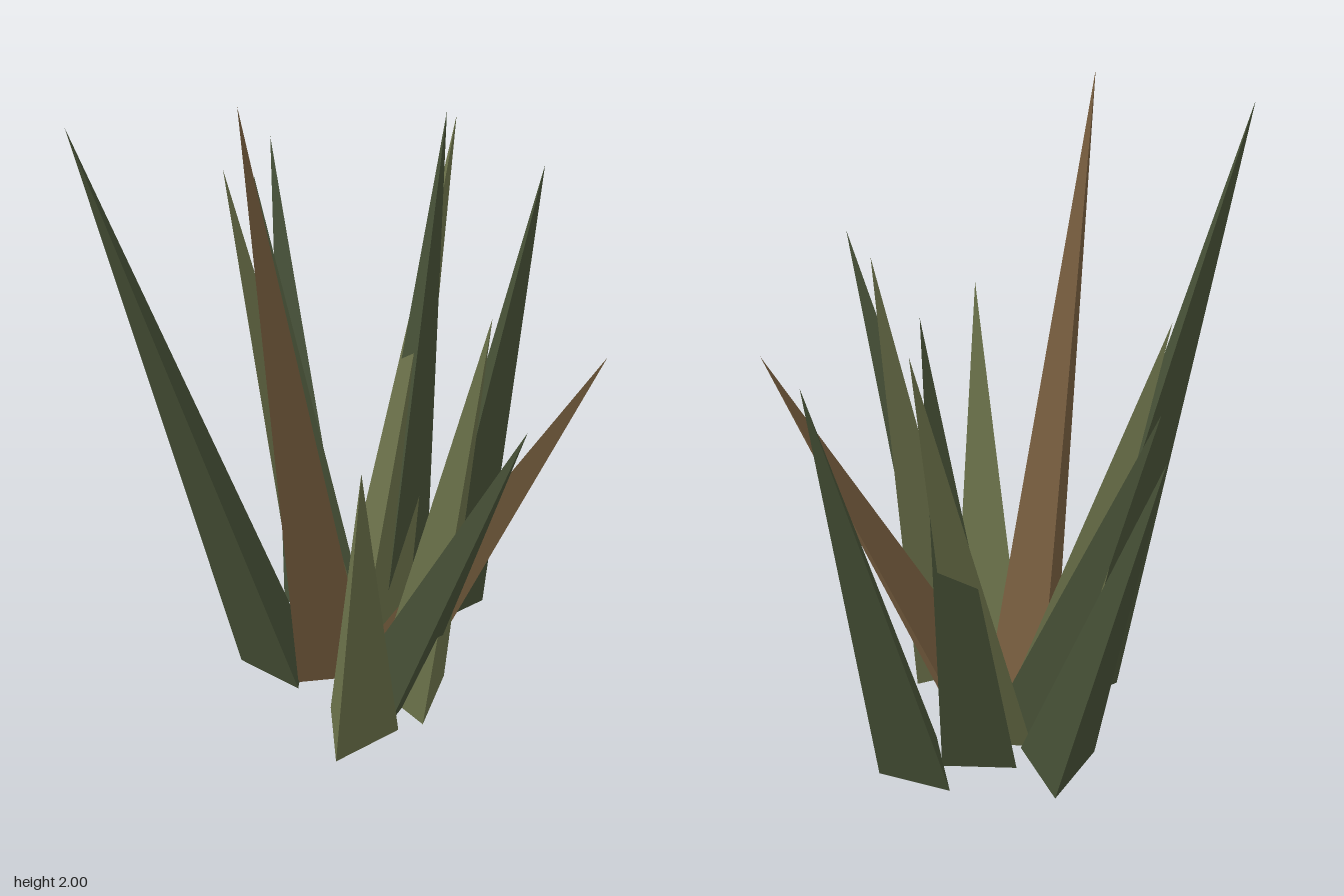
import * as THREE from 'three';

const DARK = 0x465036, OLIVE = 0x6a7049, BROWN = 0x765d3e;
const BASE_RADIUS = 0.133;

// Each blade: base centre x, z, turn of the triangular base, tip x, y, z, colour
const BLADES = [
  [-0.215, -0.151, -0.25, -0.71, 1.92, -0.285, DARK],
  [-0.097, -0.042, -1.59, -0.42, 2.0, 0.04, BROWN],
  [-0.036, 0.174, 1.42, -0.15, 1.35, 0.8, DARK],
  [-0.23, 0.242, 3.07, -0.41, 1.18, 0.495, OLIVE],
  [-0.024, -0.163, 2.94, -0.11, 1.57, -0.505, OLIVE],
  [0.016, 0.229, -0.49, 0.04, 1.45, 0.47, OLIVE],
  [0.022, -0.177, 0.5, 0.09, 1.45, -0.64, DARK],
  [0.098, -0.346, -1.92, 0.27, 1.48, -0.8, DARK],
  [0.218, -0.132, 1.25, 0.465, 1.7, -0.19, DARK],
  [0.11, -0.105, 1.18, 0.55, 1.65, -0.24, OLIVE],
  [0.39, -0.047, 3.07, 0.7, 1.53, -0.01, DARK],
  [0.09, 0.03, 0.205, 0.4, 1.24, 0.555, BROWN],
];

// Three-sided spike with a level base, sheared so its tip leans outward
function bladeGeometry(x, z, turn, tipX, tipY, tipZ) {
  const cone = new THREE.ConeGeometry(BASE_RADIUS, tipY, 3);
  cone.rotateY(turn).translate(x, tipY / 2, z);
  const shear = new THREE.Matrix4().set(
    1, (tipX - x) / tipY, 0, 0,
    0, 1, 0, 0,
    0, (tipZ - z) / tipY, 1, 0,
    0, 0, 0, 1,
  );
  const geometry = cone.applyMatrix4(shear).toNonIndexed();
  geometry.computeVertexNormals();
  return geometry;
}

export function createModel() {
  const group = new THREE.Group();
  group.name = 'grassTuft';
  const materials = {};
  for (const color of [DARK, OLIVE, BROWN]) {
    materials[color] = new THREE.MeshStandardMaterial({ color, flatShading: true });
  }
  BLADES.forEach(([x, z, turn, tipX, tipY, tipZ, color], i) => {
    const blade = new THREE.Mesh(bladeGeometry(x, z, turn, tipX, tipY, tipZ), materials[color]);
    blade.name = (color === BROWN ? 'dryBlade' : 'greenBlade') + (i + 1);
    group.add(blade);
  });
  return group;
}
